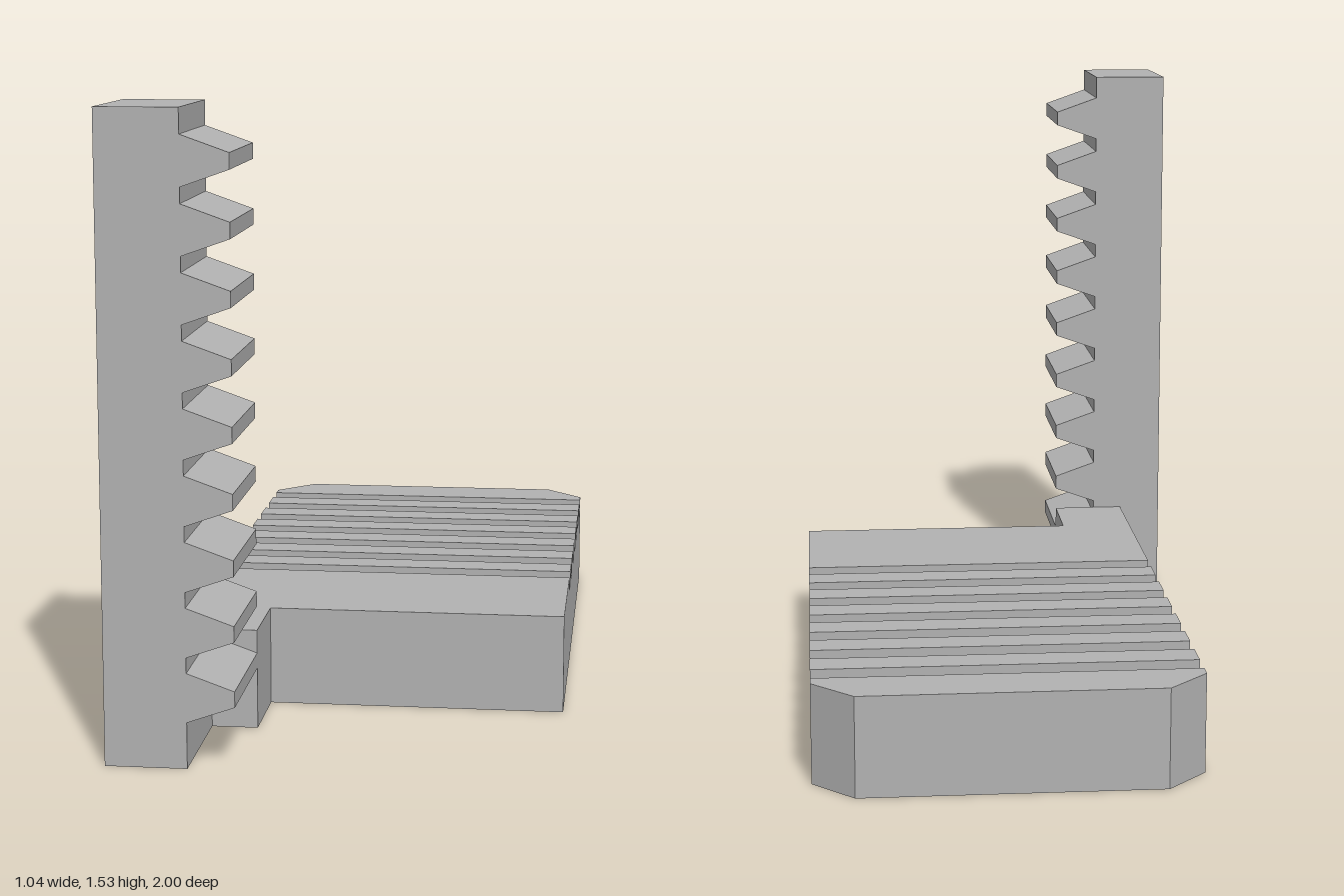
import * as THREE from 'three';

const grey = new THREE.MeshStandardMaterial({ color: 0xb2b2b2 });
grey.name = 'plain grey';

// Extrudes a closed outline of [x, y] points along +z.
function prism(points, depth) {
  const shape = new THREE.Shape(points.map(([x, y]) => new THREE.Vector2(x, y)));
  return new THREE.ExtrudeGeometry(shape, { depth, bevelEnabled: false });
}

export function createModel() {
  const model = new THREE.Group();
  model.name = 'toothedRackAndPlate';
  const add = (name, geometry) => {
    const mesh = new THREE.Mesh(geometry, grey);
    mesh.name = name;
    model.add(mesh);
  };

  const left = -0.41, right = 0.52, front = 0.472, back = -1, top = 0.246;
  const chamfer = 0.1, armRight = -0.217, rackBack = 0.68;

  // Upright rack with nine teeth on its inner side
  const root = -0.33, tip = armRight, pitch = 0.1548, firstTooth = 0.17;
  const rack = [[-0.525, 0], [root, 0]];
  for (let i = 0; i < 9; i++) {
    const y = firstTooth + i * pitch;
    rack.push([root, y - 0.059], [tip, y - 0.019], [tip, y + 0.019], [root, y + 0.059]);
  }
  rack.push([root, 1.527], [-0.525, 1.527]);
  const rackGeometry = prism(rack, 1 - rackBack);
  rackGeometry.translate(0, 0, rackBack);
  add('toothedRack', rackGeometry);

  // Plate with seven grooves across its top, drawn as a side profile (-z, y)
  const plate = [[-front, 0], [-back - chamfer, 0], [-back - chamfer, top]];
  for (let i = 6; i >= 0; i--) {
    const start = -0.083 + i * 0.1467, end = start + 0.064;
    plate.push([end, top], [end, 0.205], [start, 0.205], [start, top]);
  }
  plate.push([-front, top]);
  const plateGeometry = prism(plate, right - left);
  plateGeometry.rotateY(Math.PI / 2).translate(left, 0, 0);
  add('groovedPlate', plateGeometry);

  // Back end of the plate with cut corners, drawn in plan (x, -z)
  const endGeometry = prism([
    [left, -back - chamfer], [right, -back - chamfer],
    [right - chamfer, -back], [left + chamfer, -back],
  ], top);
  endGeometry.rotateX(-Math.PI / 2);
  add('chamferedEnd', endGeometry);

  // Short arm joining the plate to the rack
  const armGeometry = new THREE.BoxGeometry(armRight - left, top, rackBack - front);
  armGeometry.translate((left + armRight) / 2, top / 2, (rackBack + front) / 2);
  add('connectingArm', armGeometry);

  return model;
}
